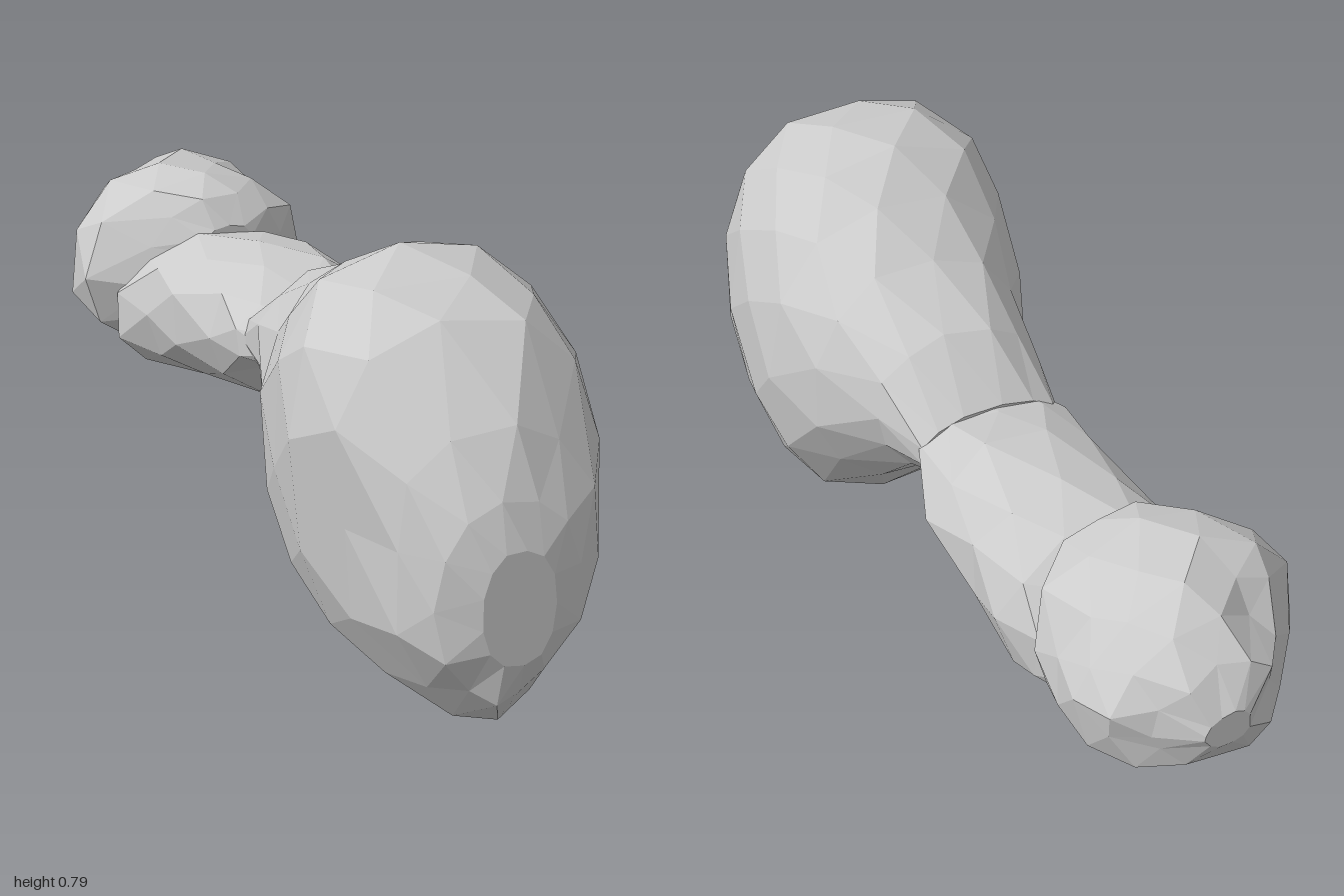
import * as THREE from 'three';

// small seeded noise so the facets look hand-cut, in the range -1..1
function makeNoise(seed) {
  let s = seed;
  return () => {
    s = (s * 16807) % 2147483647;
    return (s / 2147483647) * 2 - 1;
  };
}

// weight that falls from 1 at a centre to 0 at the given radii
function near(p, [cx, cy, cz], [rx, ry, rz]) {
  return Math.max(0, 1 - Math.hypot((p.x - cx) / rx, (p.y - cy) / ry, (p.z - cz) / rz));
}

// Faceted loft along z. Each ring: [z, xMin, xMax, yMin, yMax], from +z to -z.
// Alternate rings are turned by half a step to give a triangulated surface.
function loft(name, rings, { sides, seed, rough, power = 0.92, rule }) {
  const noise = makeNoise(seed);
  const pos = [];
  const index = [];
  const bend = (v) => Math.sign(v) * Math.pow(Math.abs(v), power);

  rings.forEach(([z, x0, x1, y0, y1], i) => {
    const inner = i > 0 && i < rings.length - 1;
    for (let j = 0; j < sides; j++) {
      const a = ((j + (i % 2) * 0.5) / sides) * Math.PI * 2;
      const k = 1.015 + noise() * rough;
      const p = new THREE.Vector3(
        (x0 + x1) / 2 + (bend(Math.cos(a)) * k * (x1 - x0)) / 2,
        (y0 + y1) / 2 + (bend(Math.sin(a)) * k * (y1 - y0)) / 2,
        z + (inner ? noise() * rough * 0.6 : 0)
      );
      if (rule) rule(p);
      pos.push(p.x, p.y, p.z);
    }
  });

  for (let i = 0; i < rings.length - 1; i++) {
    for (let j = 0; j < sides; j++) {
      const n = (j + 1) % sides;
      const a = i * sides + j, b = i * sides + n;
      const c = a + sides, d = b + sides;
      if (i % 2 === 0) index.push(a, c, b, c, d, b);
      else index.push(a, c, d, a, d, b);
    }
  }

  // end caps
  const last = rings.length - 1;
  [0, last].forEach((i) => {
    const [z, x0, x1, y0, y1] = rings[i];
    const centre = pos.length / 3;
    pos.push((x0 + x1) / 2, (y0 + y1) / 2, z);
    for (let j = 0; j < sides; j++) {
      const a = i * sides + j, b = i * sides + ((j + 1) % sides);
      if (i === 0) index.push(centre, a, b);
      else index.push(centre, b, a);
    }
  });

  const geometry = new THREE.BufferGeometry();
  geometry.setAttribute('position', new THREE.Float32BufferAttribute(pos, 3));
  geometry.setIndex(index);
  geometry.computeVertexNormals();
  const mesh = new THREE.Mesh(
    geometry,
    new THREE.MeshStandardMaterial({ color: 0xcccccc, flatShading: true })
  );
  mesh.name = name;
  return mesh;
}

export function createModel() {
  const group = new THREE.Group();
  group.name = 'drumstick';

  // plump body tapering to the neck: fuller at the upper right, dented below it
  const shoulder = (p) => {
    const bulge = near(p, [-0.22, 0.68, 0.68], [0.25, 0.25, 0.4]);
    const dent = near(p, [-0.25, 0.36, 0.78], [0.14, 0.24, 0.16]);
    p.x += dent * 0.035 - bulge * 0.06;
    p.y += bulge * 0.025;
    // keel along the lower front
    if (p.z > 0.8 && p.y < 0.2) p.x += (-0.08 - p.x) * 0.3;
  };
  group.add(loft('meat', [
    [1.0, -0.11, 0.03, 0.2, 0.42],
    [0.97, -0.18, 0.09, 0.12, 0.5],
    [0.885, -0.235, 0.165, 0.045, 0.6],
    [0.74, -0.275, 0.235, 0.03, 0.74],
    [0.6, -0.295, 0.28, 0.02, 0.775],
    [0.46, -0.28, 0.3, 0.0, 0.79],
    [0.34, -0.26, 0.3, 0.045, 0.74],
    [0.2, -0.2, 0.265, 0.18, 0.675],
    [0.04, -0.15, 0.2, 0.31, 0.605],
    [-0.08, -0.14, 0.16, 0.36, 0.5],
  ], { sides: 13, seed: 11, rough: 0.02, power: 0.9, rule: shoulder }));

  // lumpy shank
  group.add(loft('shank', [
    [0.02, -0.12, 0.13, 0.37, 0.48],
    [-0.08, -0.155, 0.16, 0.345, 0.5],
    [-0.21, -0.16, 0.205, 0.245, 0.525],
    [-0.38, -0.18, 0.19, 0.21, 0.52],
    [-0.5, -0.21, 0.2, 0.185, 0.5],
    [-0.58, -0.25, 0.18, 0.17, 0.46],
    [-0.68, -0.2, 0.14, 0.22, 0.42],
  ], { sides: 10, seed: 23, rough: 0.04 }));

  // knuckle end: rear top slopes down to the left, low spur on the right, grooved rear
  const knuckle = (p) => {
    const slope = THREE.MathUtils.clamp((-0.62 - p.z) / 0.18, 0, 1);
    if (p.y > 0.4) p.y -= p.x * 0.22 * slope;
    p.x -= near(p, [-0.25, 0.36, -0.66], [0.22, 0.24, 0.18]) * 0.08;
    const groove = near(p, [-0.11, 0.53, -0.86], [0.1, 0.2, 0.16]);
    p.y -= groove * 0.05;
    p.z += groove * 0.04;
  };
  group.add(loft('knuckle', [
    [-0.5, -0.07, 0.05, 0.4, 0.51],
    [-0.545, -0.16, 0.13, 0.28, 0.565],
    [-0.63, -0.24, 0.195, 0.19, 0.59],
    [-0.72, -0.25, 0.2, 0.18, 0.585],
    [-0.81, -0.215, 0.2, 0.2, 0.585],
    [-0.89, -0.165, 0.18, 0.25, 0.56],
    [-0.95, -0.12, 0.12, 0.3, 0.51],
    [-1.0, -0.04, 0.05, 0.37, 0.44],
  ], { sides: 12, seed: 41, rough: 0.03, rule: knuckle }));

  return group;
}
